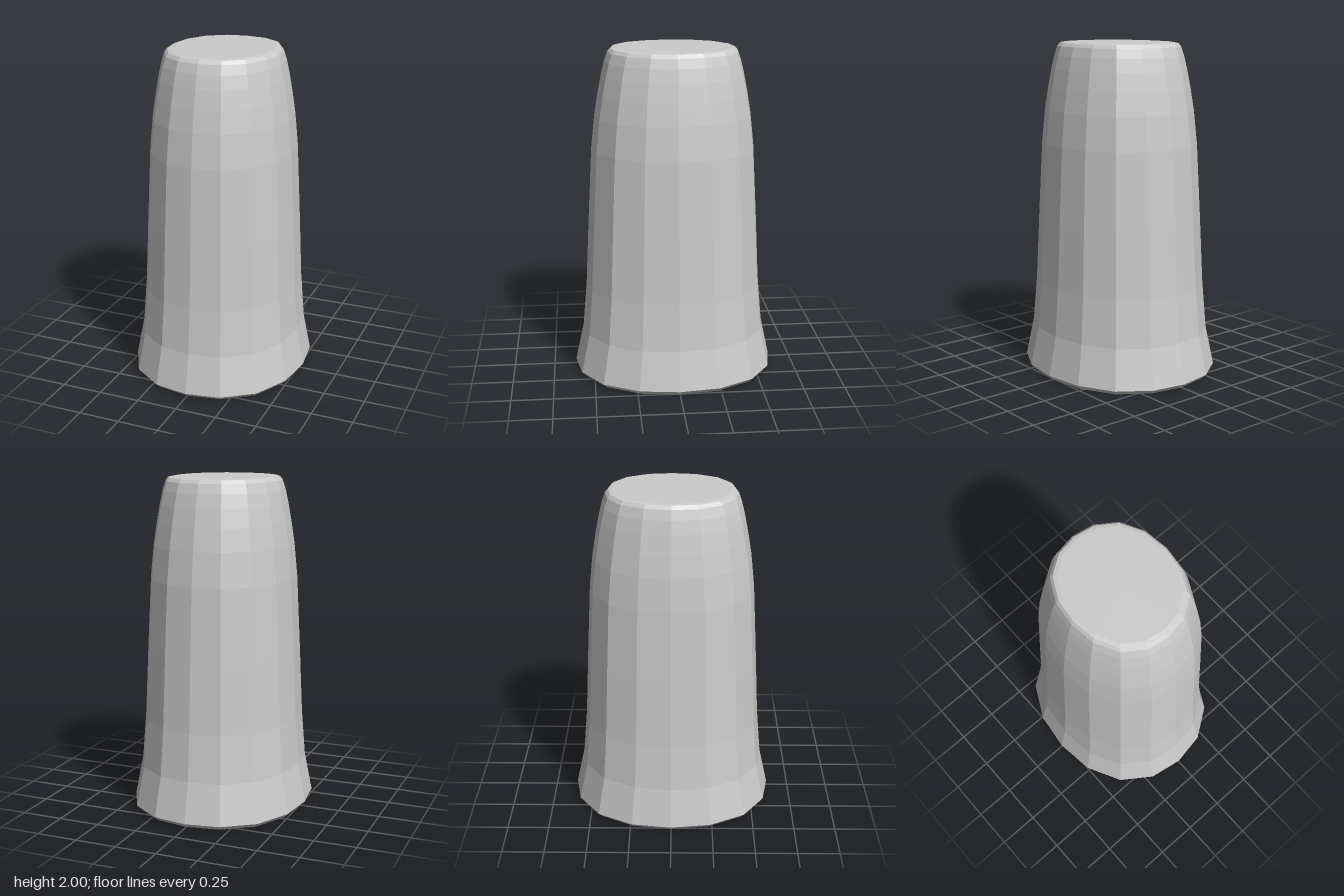
import * as THREE from 'three';

const SIDES = 16;
const DEPTH = 1.153; // depth relative to width

// Half-width and height, from the centre of the base to the centre of the top
const PROFILE = [
  [0, 0], [0.508, 0], [0.533, 0.027], [0.488, 0.265], [0.466, 0.55],
  [0.448, 0.95], [0.426, 1.4], [0.407, 1.6], [0.388, 1.73], [0.369, 1.84],
  [0.352, 1.92], [0.335, 1.976], [0.32, 1.996], [0.3, 2], [0, 2],
];

export function createModel() {
  const group = new THREE.Group();
  group.name = 'taperedBody';

  const points = PROFILE.map(([r, y]) => new THREE.Vector2(r, y));
  const lathe = new THREE.LatheGeometry(points, SIDES);

  // Turn the round section into an oval with slightly fuller corners
  const pos = lathe.attributes.position;
  for (let i = 0; i < pos.count; i++) {
    const x = pos.getX(i), z = pos.getZ(i);
    const bulge = 1 + 0.037 * Math.sin(2 * Math.atan2(x, z)) ** 2;
    pos.setX(i, x * bulge);
    pos.setZ(i, z * bulge * DEPTH);
  }
  const geometry = lathe.toNonIndexed();
  geometry.computeVertexNormals();

  const body = new THREE.Mesh(
    geometry,
    new THREE.MeshStandardMaterial({ color: 0xcccccc, flatShading: true })
  );
  body.name = 'body';
  group.add(body);
  return group;
}
